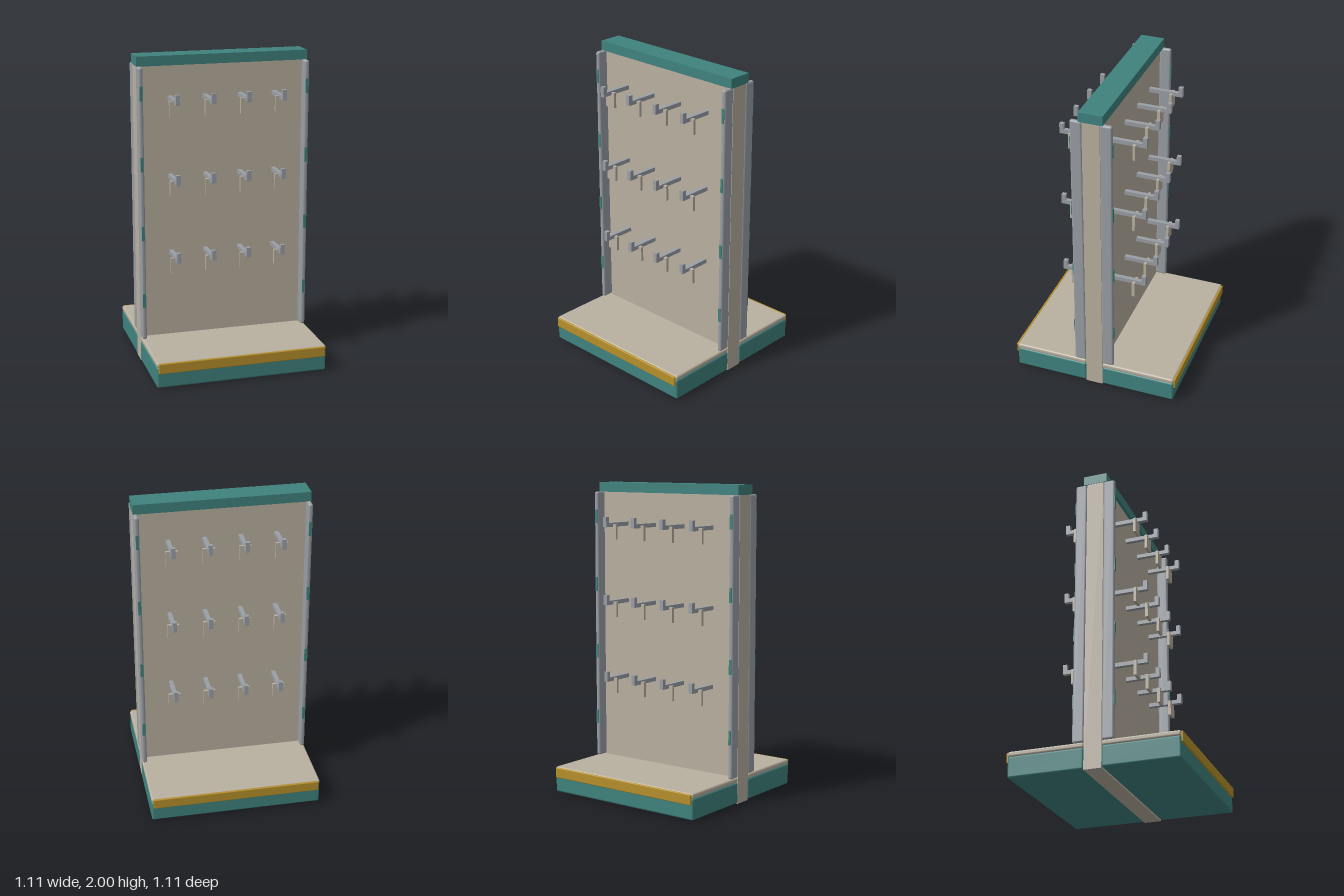
import * as THREE from 'three';
import { RoundedBoxGeometry } from 'three/addons/geometries/RoundedBoxGeometry.js';

const material = (name, color) => {
  const m = new THREE.MeshStandardMaterial({ color });
  m.name = name;
  return m;
};

export function createModel() {
  const beige = material('beige', 0xb9b0a0);
  const grey = material('grey', 0x9a9fa5);
  const teal = material('teal', 0x3f827e);
  const gold = material('gold', 0xb6902a);

  // Box from its limits on each axis; a radius rounds the edges
  function box(parent, name, mat, [x0, x1], [y0, y1], [z0, z1], radius = 0) {
    const size = [x1 - x0, y1 - y0, z1 - z0];
    const geometry = radius
      ? new RoundedBoxGeometry(...size, 2, radius)
      : new THREE.BoxGeometry(...size);
    const mesh = new THREE.Mesh(geometry, mat);
    mesh.name = name;
    mesh.position.set((x0 + x1) / 2, (y0 + y1) / 2, (z0 + z1) / 2);
    parent.add(mesh);
  }

  // Peg hook: arm, upturned tip and hanging price tab
  function hook(x, y) {
    const g = new THREE.Group();
    g.name = 'hook';
    box(g, 'hookArm', grey, [-0.0135, 0.0135], [-0.013, 0.013], [0.05, 0.278]);
    box(g, 'hookTip', grey, [-0.0135, 0.0135], [-0.013, 0.052], [0.252, 0.279]);
    box(g, 'priceTab', beige, [-0.038, 0.038], [-0.095, 0.004], [0.196, 0.214]);
    g.position.set(x, y, 0);
    return g;
  }

  // One side of the stand, facing +z
  function displaySide(name) {
    const g = new THREE.Group();
    g.name = name;
    box(g, 'base', teal, [-0.553, 0.553], [0.005, 0.14], [0.056, 0.541], 0.012);
    box(g, 'shelf', beige, [-0.553, 0.553], [0.138, 0.172], [0.056, 0.541], 0.012);
    box(g, 'shelfEdgeStrip', gold, [-0.544, 0.544], [0.101, 0.168], [0.537, 0.553], 0.006);

    for (const s of [-1, 1]) {
      const x = s * 0.538;
      box(g, 'upright', grey, [x - 0.015, x + 0.015], [0.172, 1.94], [0.056, 0.132], 0.012);
      // Slot markers on the upright's outer face
      for (let i = 0; i < 4; i++) {
        const y = 0.437 + i * 0.447;
        box(g, 'slotMarker', teal, [x - 0.009, x + 0.009], [y - 0.046, y + 0.046], [0.127, 0.135]);
      }
    }

    for (let row = 0; row < 3; row++)
      for (let col = 0; col < 4; col++)
        g.add(hook(-0.341 + col * 0.2273, 0.73 + row * 0.502));
    return g;
  }

  const model = new THREE.Group();
  model.name = 'displayStand';
  box(model, 'backPanel', beige, [-0.55, 0.55], [0, 1.94], [-0.056, 0.056]);
  box(model, 'header', teal, [-0.553, 0.553], [1.938, 2], [-0.077, 0.077]);
  const back = displaySide('backSide');
  back.rotation.y = Math.PI;
  model.add(displaySide('frontSide'), back);
  return model;
}
